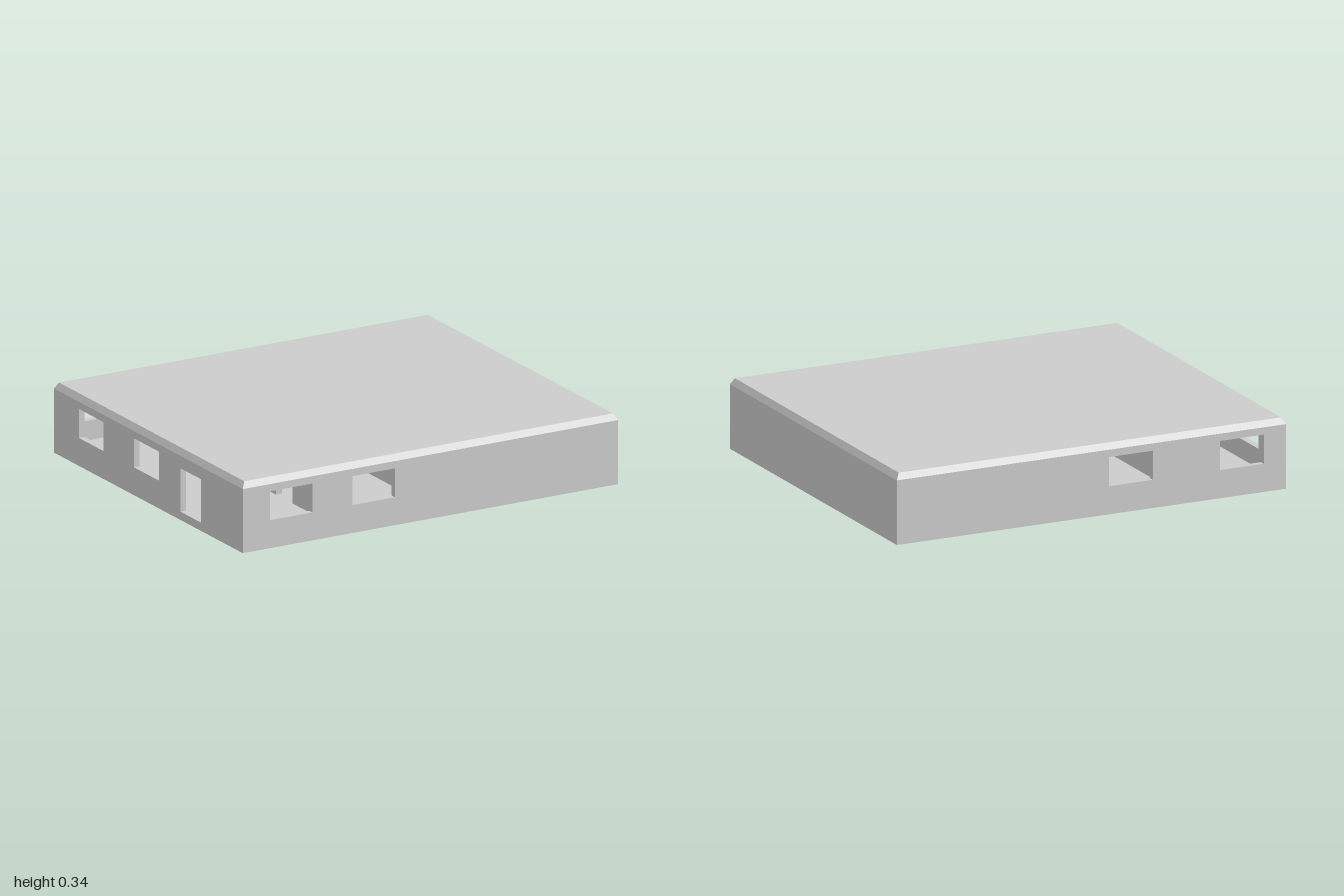
import * as THREE from 'three';

const X = 1, Z = 0.857;          // half extents of the building
const T = 0.03;                  // wall thickness
const FLOOR = 0.04, EAVE = 0.31, TOP = 0.34;
const SILL = 0.135, HEAD = 0.275, DOOR = 0.25;

const material = new THREE.MeshStandardMaterial({ color: 0xcccccc, flatShading: true });

const windowAt = (a, b) => [a, b, SILL, HEAD];
const doorAt = (a, b) => [a, b, FLOOR, DOOR];

function rect(target, a, b, low, high) {
  target.moveTo(a, low);
  target.lineTo(b, low);
  target.lineTo(b, high);
  target.lineTo(a, high);
  target.closePath();
  return target;
}

// Wall from a to b along x (or along z), centred on "at" across, with openings
function wall(name, axis, at, a, b, openings = [], bottom = 0) {
  const shape = rect(new THREE.Shape(), a, b, bottom, EAVE);
  for (const o of openings) shape.holes.push(rect(new THREE.Path(), ...o));
  const geometry = new THREE.ExtrudeGeometry(shape, { depth: T, bevelEnabled: false });
  geometry.translate(0, 0, -T / 2);
  if (axis === 'z') geometry.rotateY(-Math.PI / 2);
  const mesh = new THREE.Mesh(geometry, material);
  mesh.name = name;
  mesh.position[axis === 'x' ? 'z' : 'x'] = at;
  return mesh;
}

// Box between two heights, optionally narrowed at its top
function slab(name, halfX, halfZ, low, high, inset = 0) {
  const geometry = new THREE.BoxGeometry(2 * halfX, high - low, 2 * halfZ);
  const p = geometry.attributes.position;
  for (let i = 0; i < p.count; i++) {
    if (p.getY(i) > 0) {
      p.setX(i, p.getX(i) - Math.sign(p.getX(i)) * inset);
      p.setZ(i, p.getZ(i) - Math.sign(p.getZ(i)) * inset);
    }
  }
  geometry.computeVertexNormals();
  const mesh = new THREE.Mesh(geometry, material);
  mesh.name = name;
  mesh.position.y = (low + high) / 2;
  return mesh;
}

export function createModel() {
  const house = new THREE.Group();
  house.name = 'building';
  const inX = X - T, inZ = Z - T;

  house.add(
    slab('floor', inX, inZ, 0, FLOOR),
    slab('roof', X, Z, EAVE, TOP, 0.018),

    // Outer walls
    wall('frontWall', 'x', Z - T / 2, -X, X, [windowAt(-0.855, -0.63), windowAt(-0.415, -0.19)]),
    wall('backWall', 'x', -Z + T / 2, -X, X, [windowAt(-0.885, -0.66), windowAt(-0.315, -0.09)]),
    wall('leftWall', 'z', X - T / 2, -inZ, inZ),
    wall('rightWall', 'z', -X + T / 2, -inZ, inZ,
      [windowAt(-0.63, -0.405), windowAt(-0.13, 0.095), doorAt(0.29, 0.48)]),

    // Inner partitions
    wall('roomPartition', 'z', -0.48, -inZ, inZ, [doorAt(0.3, 0.45)], 0.01),
    wall('hallPartition', 'z', 0.045, -inZ, inZ, [doorAt(-0.76, -0.61)], 0.01),
    wall('crossPartition', 'x', 0, -0.465, 0.03, [doorAt(-0.375, -0.225)], 0.01),
  );
  return house;
}
